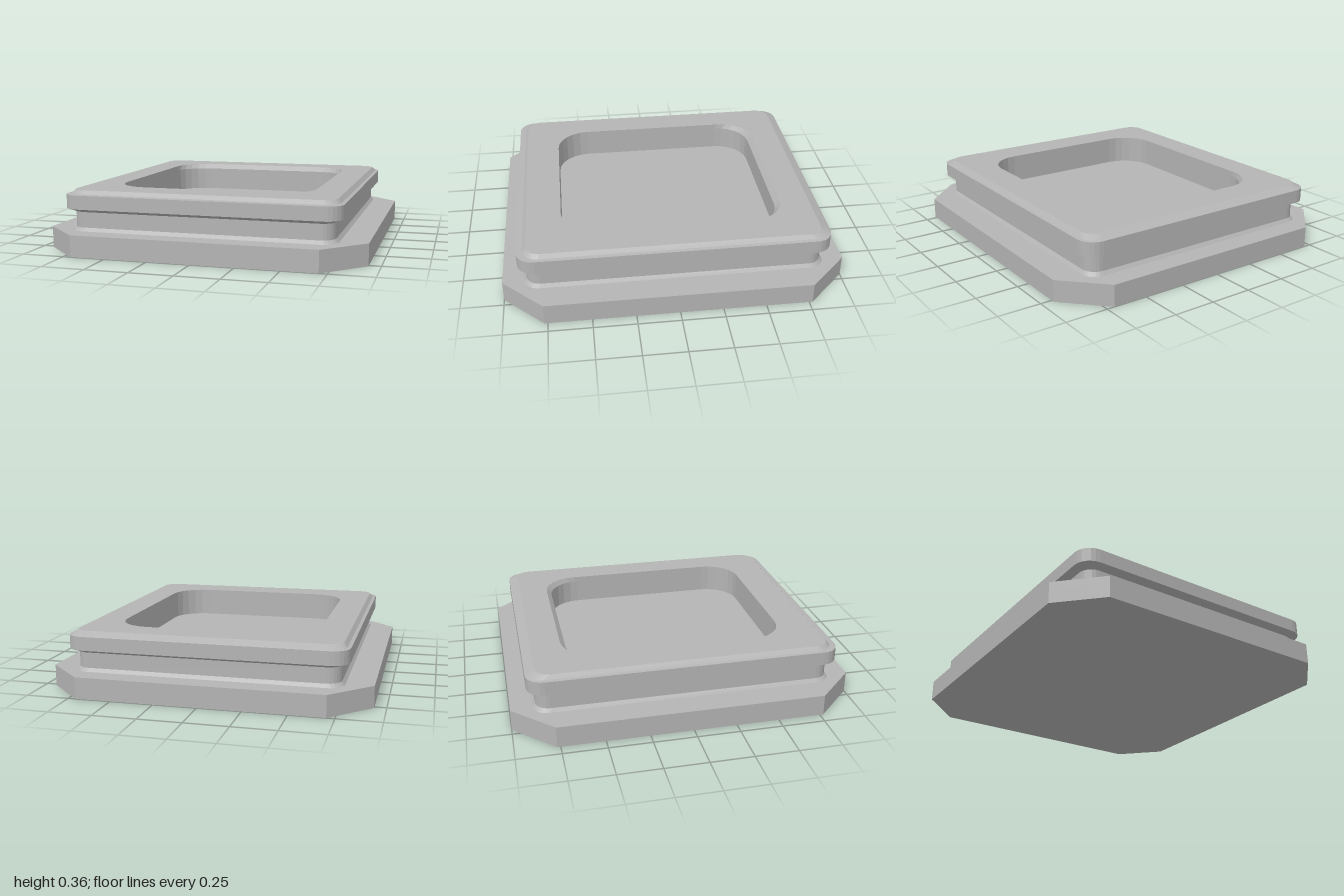
import * as THREE from 'three';

const grey = new THREE.MeshStandardMaterial({ color: 0xb4b4b4, flatShading: true });
grey.name = 'plain grey';

// Rounded rectangle in the ground plane; the back edge may sit at its own depth
function ring([hx, hz, r, y, back = hz], steps = 6) {
  const pts = [];
  const corners = [[1, hz], [-1, hz], [-1, -back], [1, -back]];
  corners.forEach(([sx, z], c) => {
    const cx = sx * (hx - r), cz = z - Math.sign(z) * r;
    for (let i = 0; i <= steps; i++) {
      const a = (c + i / steps) * Math.PI / 2;
      pts.push([cx + r * Math.cos(a), y, cz + r * Math.sin(a)]);
    }
  });
  return pts;
}

// Skin through successive rings, closed with a flat cap at the last one
function loft(profile) {
  const rings = profile.map((p) => ring(p));
  const n = rings[0].length, pos = [];
  for (let k = 0; k < rings.length - 1; k++) {
    for (let i = 0; i < n; i++) {
      const j = (i + 1) % n, a = rings[k], b = rings[k + 1];
      pos.push(...a[i], ...b[i], ...a[j], ...b[i], ...b[j], ...a[j]);
    }
  }
  const last = rings[rings.length - 1];
  for (let i = 0; i < n; i++) pos.push(...last[i], 0, last[0][1], 0, ...last[(i + 1) % n]);
  const g = new THREE.BufferGeometry();
  g.setAttribute('position', new THREE.Float32BufferAttribute(pos, 3));
  g.computeVertexNormals();
  return g;
}

function add(group, name, geometry) {
  const mesh = new THREE.Mesh(geometry, grey);
  mesh.name = name;
  group.add(mesh);
}

export function createModel() {
  const model = new THREE.Group();
  model.name = 'recessedPlinth';

  // Base slab with cut corners
  const outline = [[0.705, 1], [0.933, 0.77], [0.933, -0.77], [0.705, -1],
    [-0.705, -1], [-0.933, -0.77], [-0.933, 0.77], [-0.705, 1]];
  const base = new THREE.ExtrudeGeometry(
    new THREE.Shape(outline.map(([x, y]) => new THREE.Vector2(x, y))),
    { depth: 0.125, bevelEnabled: false });
  base.rotateX(-Math.PI / 2);
  add(model, 'baseSlab', base);

  // Neck, overhanging rim with stepped edge, and recessed tray: half x, half z, radius, y, back z
  add(model, 'rimmedTray', loft([
    [0.78, 0.88, 0.09, 0.12],
    [0.76, 0.86, 0.08, 0.145],
    [0.76, 0.86, 0.08, 0.235],
    [0.805, 0.905, 0.1, 0.255],
    [0.805, 0.905, 0.1, 0.335],
    [0.785, 0.87, 0.09, 0.338, 0.9],
    [0.765, 0.85, 0.08, 0.36],
    [0.59, 0.645, 0.2, 0.36, 0.675],
    [0.59, 0.645, 0.2, 0.33],
    [0.59, 0.645, 0.2, 0.185],
  ]));

  return model;
}
